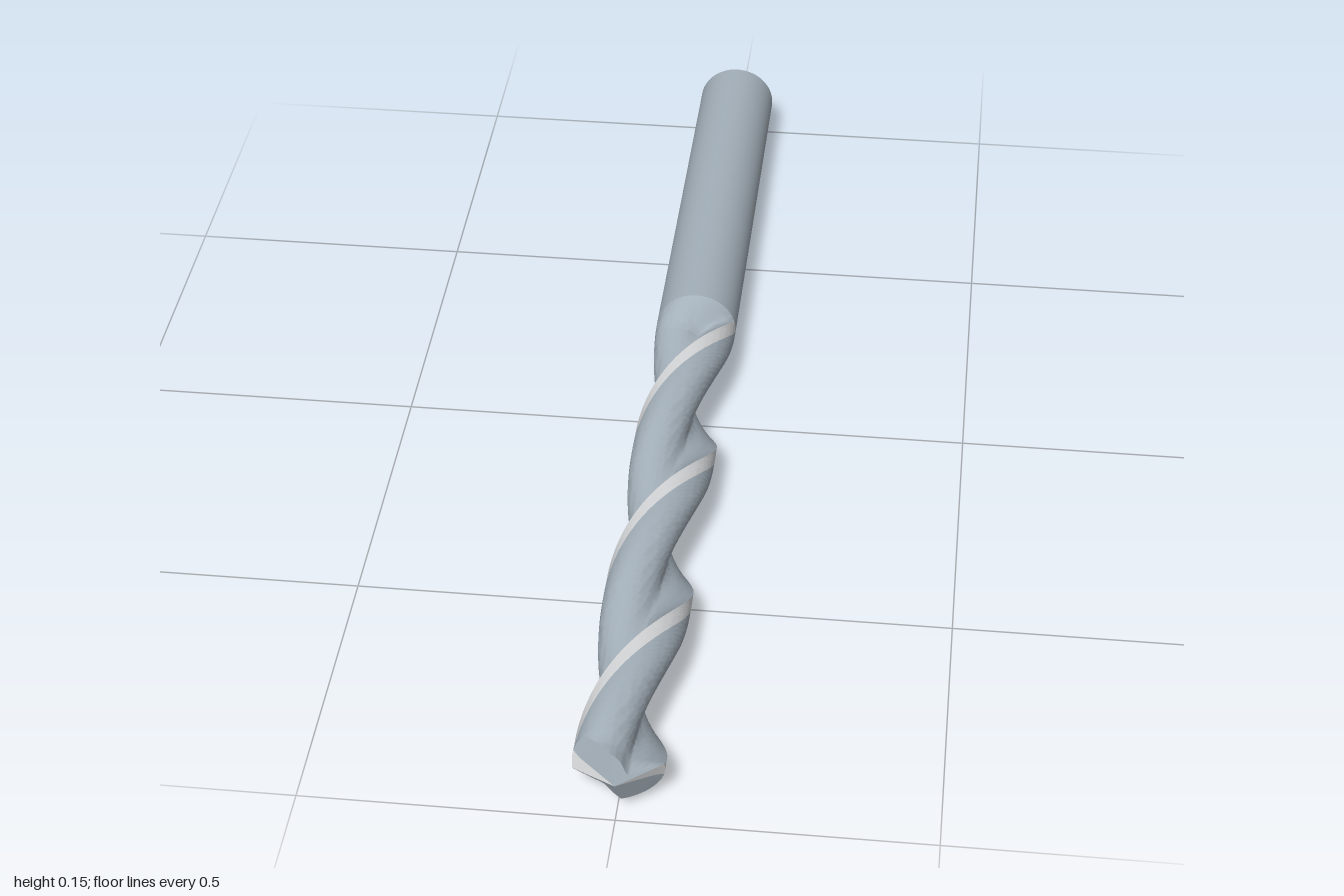
import * as THREE from 'three';
import { toCreasedNormals } from 'three/addons/utils/BufferGeometryUtils.js';

const R = 0.0725;          // drill radius, also the height of its axis
const SHOULDER = -0.2;     // where the shank meets the flutes
const CORNER = 0.955;      // outer corners of the cutting lips
const LEAD = 0.78;         // length of one full turn
const ADVANCE = THREE.MathUtils.degToRad(9); // turn that centres the lands on the x axis at the tip

// Half of the cross-section as [degrees behind the cutting edge, radius]:
// bright land, rounded heel, hollow flute, then out along the rake face.
const HALF = [
  [0, R], [10, R], [20, R], [34, 0.072], [48, 0.0695], [60, 0.065], [75, 0.056],
  [90, 0.046], [105, 0.036], [120, 0.028], [135, 0.023], [150, 0.021],
  [163, 0.024], [171, 0.035], [176, 0.051], [180, R],
];
const STEPS = 3;               // divisions between section points
const LAND = 2 * STEPS;        // divisions covered by the land
const HALF_COUNT = (HALF.length - 1) * STEPS;

function crossSection() {
  const curve = new THREE.CatmullRomCurve3(HALF.map(([deg, r]) => {
    const a = THREE.MathUtils.degToRad(deg);
    return new THREE.Vector3(r * Math.cos(a), r * Math.sin(a), 0);
  }));
  const half = curve.getPoints(HALF_COUNT).slice(0, -1);
  return [...half, ...half.map((p) => p.clone().negate())];
}

// Height of the ground point over a position on the section
const tipZ = (u, v) => 1 - 0.62 * Math.abs(u) - 0.45 * Math.abs(v);

// Group 0 is the fluted body, group 1 the lands and the lips they run into
function flutedGeometry() {
  const section = crossSection();
  const n = section.length;
  const rows = 190;
  const capRows = 10;
  const positions = [];
  const bodyFaces = [];
  const landFaces = [];

  // Turn a section point about the axis according to its z
  const place = (u, v, z) => {
    const lead = Math.PI + ADVANCE + (Math.min(z, CORNER) - CORNER) * 2 * Math.PI / LEAD;
    const a = lead - Math.atan2(v, u);
    const r = Math.hypot(u, v);
    positions.push(r * Math.cos(a), r * Math.sin(a), z);
  };

  // Twisted body, its flutes running out to the full circle at the shoulder
  for (let i = 0; i <= rows; i++) {
    for (const p of section) {
      const z = THREE.MathUtils.lerp(SHOULDER, tipZ(p.x, p.y), i / rows);
      const w = THREE.MathUtils.clamp((SHOULDER + 0.045 - z) / 0.045, 0, 1);
      const s = 1 - w + w * R / p.length();
      place(p.x * s, p.y * s, z);
    }
  }
  // Ground point, closing in to the axis
  for (let i = 1; i <= capRows; i++) {
    const s = 1 - i / capRows;
    for (const p of section) place(p.x * s, p.y * s, tipZ(p.x * s, p.y * s));
  }

  const last = rows + capRows - 1;
  for (let i = 0; i <= last; i++) {
    for (let j = 0; j < n; j++) {
      const k = (j + 1) % n;
      const a = i * n + j, b = i * n + k;
      const c = (i + 1) * n + k, d = (i + 1) * n + j;
      const faces = j % HALF_COUNT < LAND ? landFaces : bodyFaces;
      faces.push(a, d, b);
      if (i < last) faces.push(d, c, b);
    }
  }
  const geometry = new THREE.BufferGeometry();
  geometry.setAttribute('position', new THREE.Float32BufferAttribute(positions, 3));
  geometry.setIndex([...bodyFaces, ...landFaces]);
  geometry.addGroup(0, bodyFaces.length, 0);
  geometry.addGroup(bodyFaces.length, landFaces.length, 1);
  return toCreasedNormals(geometry, 0.6);
}

function material(name, color) {
  const m = new THREE.MeshStandardMaterial({ color });
  m.name = name;
  return m;
}

export function createModel() {
  const steel = material('steel', 0xa3afb9);
  const brightSteel = material('brightSteel', 0xd6d8da);

  const model = new THREE.Group();
  model.name = 'twistDrill';

  // Plain round shank
  const length = SHOULDER + 1;
  const shank = new THREE.Mesh(
    new THREE.CylinderGeometry(R, R, length, 88).rotateX(Math.PI / 2), steel);
  shank.name = 'shank';
  shank.position.set(0, R, -1 + length / 2);

  // Two-flute helical cutting end with bright lands
  const flutes = new THREE.Mesh(flutedGeometry(), [steel, brightSteel]);
  flutes.name = 'flutedBody';
  flutes.position.y = R;

  model.add(shank, flutes);
  return model;
}
